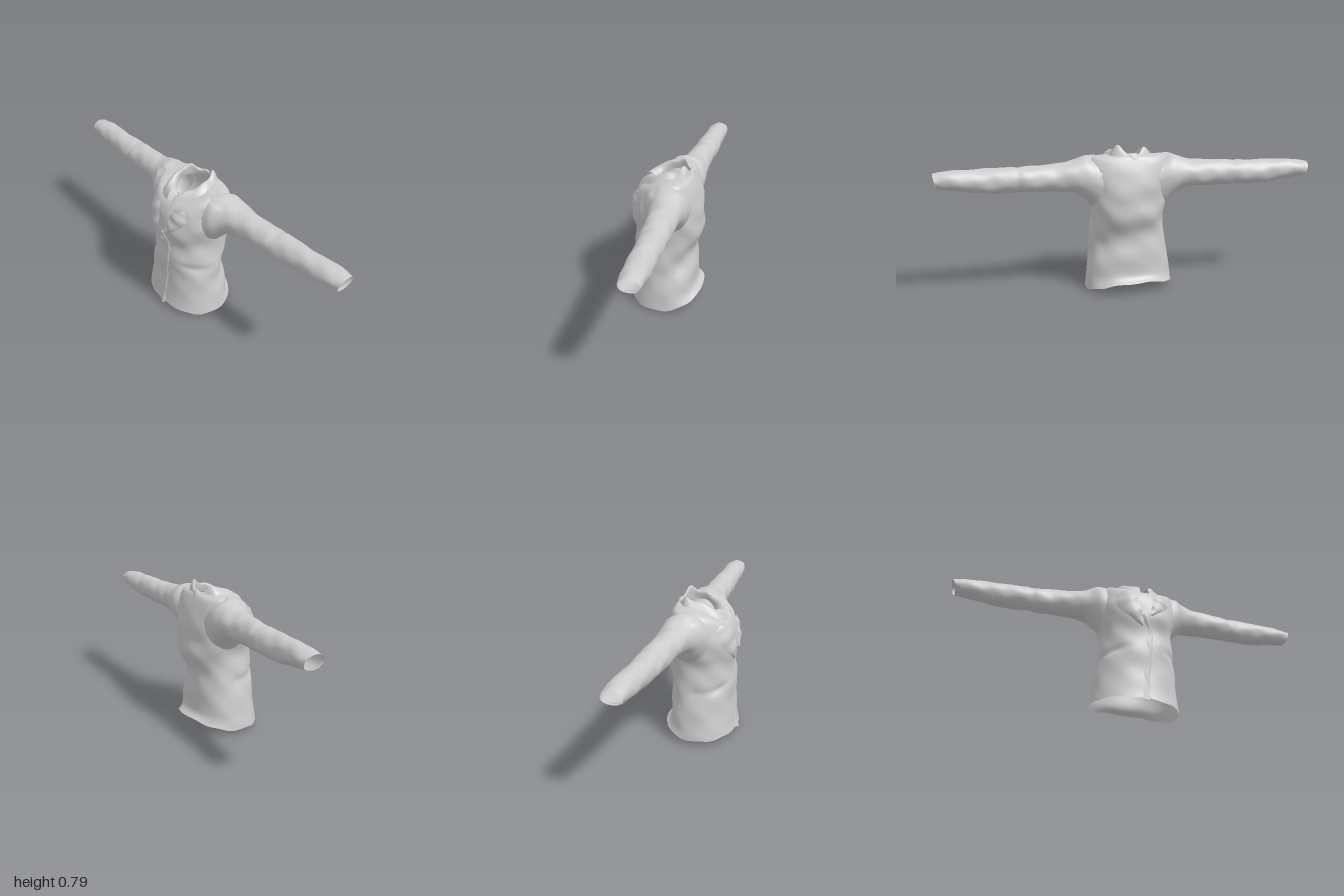
import * as THREE from 'three';

const material = new THREE.MeshStandardMaterial({ color: 0xcccccc, side: THREE.DoubleSide });

// Smooth interpolation through the rows of a small table, t in 0..1
function sample(rows, t) {
  const f = Math.min(Math.max(t, 0), 1) * (rows.length - 1);
  const i = Math.min(Math.floor(f), rows.length - 2), k = f - i;
  const row = (n) => rows[Math.min(Math.max(n, 0), rows.length - 1)];
  return row(i).map((b, c) => {
    const a = row(i - 1)[c], d = row(i + 1)[c], e = row(i + 2)[c];
    return b + 0.5 * k * (d - a + k * (2 * a - 5 * b + 4 * d - e + k * (3 * (b - d) + e - a)));
  });
}

// Smooth bump of width w
const bump = (d, w) => Math.exp(-((d / w) ** 2));

// Cloth surface over a (u, v) grid; closed joins u = 1 to u = 0, skip cuts holes
function cloth(name, nu, nv, closed, point, skip = () => false) {
  const cols = closed ? nu : nu + 1, index = [], pts = [];
  for (let j = 0; j <= nv; j++) {
    for (let i = 0; i < cols; i++) pts.push(point(i / nu, j / nv));
  }
  for (let j = 0; j < nv; j++) {
    for (let i = 0; i < nu; i++) {
      const a = j * cols + i, b = j * cols + ((i + 1) % cols), c = a + cols, d = b + cols;
      if ([a, b, c, d].every((n) => skip(pts[n]))) continue;
      index.push(a, c, b, b, c, d);
    }
  }
  const geo = new THREE.BufferGeometry();
  geo.setAttribute('position', new THREE.Float32BufferAttribute(pts.flat(), 3));
  geo.setIndex(index);
  geo.computeVertexNormals();
  const mesh = new THREE.Mesh(geo, material);
  mesh.name = name;
  return mesh;
}

// Torso rings: ySide, yFront, yBack, xLeft, xRight, zFront, zBack, zCentre
const torsoRings = [
  [0.014, 0.028, 0.065, 0.225, 0.25, 0.19, -0.198, 0],
  [0.08, 0.09, 0.1, 0.218, 0.243, 0.18, -0.167, 0],
  [0.2, 0.2, 0.2, 0.21, 0.225, 0.172, -0.167, 0],
  [0.32, 0.32, 0.32, 0.202, 0.203, 0.174, -0.16, 0],
  [0.42, 0.42, 0.42, 0.19, 0.195, 0.166, -0.196, -0.01],
  [0.5, 0.5, 0.5, 0.205, 0.21, 0.182, -0.19, -0.02],
  [0.58, 0.57, 0.58, 0.22, 0.22, 0.176, -0.185, -0.035],
  [0.67, 0.635, 0.65, 0.22, 0.22, 0.157, -0.17, -0.05],
  [0.728, 0.665, 0.705, 0.2, 0.2, 0.132, -0.15, -0.06],
  [0.738, 0.672, 0.733, 0.14, 0.14, 0.1, -0.135, -0.06],
  [0.738, 0.664, 0.737, 0.088, 0.088, 0.062, -0.12, -0.04],
];
const power = 2.3;
const rounded = (v) => Math.sign(v) * Math.abs(v) ** (2 / power);

function torsoPoint(u, t) {
  const [ys, yf, yb, xl, xr, zf, zb, zc] = sample(torsoRings, t);
  const a = u * Math.PI * 2, c = rounded(Math.cos(a)), s = rounded(Math.sin(a));
  const y = ys + ((s > 0 ? yf : yb) - ys) * s * s;
  // Diagonal folds, a pinched crease on each side of the chest and a hollow at the back of the waist
  const mask = Math.sin(Math.PI * Math.min(1, t * 1.1));
  const pinch = 0.05 * bump(Math.abs(c) - 0.75, 0.3) * bump(y - 0.35 + 0.06 * Math.abs(c), 0.02) * (s > 0 ? 1 : 0);
  const hollow = 0.14 * bump(Math.sin((a + 0.75) / 2), 0.3) * bump(y - 0.26 - 0.08 * (-s - 0.7), 0.075);
  const fold = 1 - pinch - hollow
    + mask * (0.02 * Math.sin(3 * a + y * 22) * Math.sin(y * 15) + 0.01 * Math.sin(7 * a - y * 38));
  const hem = (1 - Math.min(1, t * 6)) * (0.003 * Math.sin(9 * a) - 0.012 * c);
  return [c * (c > 0 ? xl : xr) * fold, y + hem, zc + s * (s > 0 ? zf - zc : zc - zb) * fold];
}

// Depth of the chest surface at a given x and y
function frontZ(x, y) {
  let t = 0;
  while (t < 0.8 && sample(torsoRings, t)[1] < y) t += 0.005;
  const [, , , xl, xr, zf, , zc] = sample(torsoRings, t);
  const k = Math.min(1, Math.abs(x) / (x > 0 ? xl : xr));
  return zc + (zf - zc) * (1 - k ** power) ** (1 / power);
}

// Point of the torso's side surface closest to a given y and z
function sidePoint(side, y, z) {
  let best, least = Infinity;
  for (let j = 90; j <= 200; j++) {
    for (let i = -48; i <= 48; i++) {
      const p = torsoPoint(i / 200 + (side > 0 ? 0 : 0.5), j / 210);
      const d = (p[1] - y) ** 2 + (p[2] - z) ** 2;
      if (d < least) [best, least] = [p, d];
    }
  }
  return best;
}

// Sleeve rings: x, yCentre, zCentre, yRadius, zRadius
const sleeveRings = [
  [0.19, 0.6, -0.035, 0.134, 0.118],
  [0.23, 0.62, -0.042, 0.118, 0.114],
  [0.28, 0.631, -0.055, 0.09, 0.093],
  [0.35, 0.63, -0.062, 0.073, 0.08],
  [0.46, 0.628, -0.066, 0.068, 0.071],
  [0.57, 0.627, -0.07, 0.067, 0.069],
  [0.7, 0.626, -0.074, 0.064, 0.064],
  [0.8, 0.63, -0.077, 0.059, 0.061],
  [0.91, 0.637, -0.08, 0.051, 0.058],
  [1.0, 0.636, -0.082, 0.038, 0.052],
];

function sleeve(side) {
  const tube = (u, t) => {
    const [x, yc, zc, ry, rz] = sample(sleeveRings, t);
    const a = u * Math.PI * 2;
    // Irregular creases plus a pinch at the elbow
    const fold = 1 - 0.07 * bump(x - 0.58, 0.012) + Math.min(1, t * 3) * (0.025 * Math.sin(2 * a + x * 19 + side)
      + 0.015 * Math.sin(5 * a - x * 31) + 0.015 * Math.sin(3 * a + x * 53));
    const cuff = t > 0.95 ? 0.01 * (1 - Math.cos(a)) : 0;
    return [side * (x - cuff), yc + Math.cos(a) * ry * fold,
      zc - (side < 0 ? 0.015 : -0.004) * t - side * Math.sin(a) * rz * fold];
  };
  // Root of the sleeve follows the armhole seam on the torso
  const nu = 48;
  const shift = Array.from({ length: nu }, (_, i) => {
    const p = tube(i / nu, 0), q = sidePoint(side, p[1], p[2]);
    return q.map((v, k) => v - p[k]);
  });
  return cloth(side > 0 ? 'leftSleeve' : 'rightSleeve', nu, 72, true, (u, t) => {
    const d = shift[Math.round(u * nu)], w = Math.max(0, 1 - t / 0.25) ** 2;
    return tube(u, t).map((v, k) => v + w * d[k]);
  });
}

// Collar rows from neckline up and folded outward: ySide, yFront, yBack, x, zFront, zBack
const collarRows = [
  [0.715, 0.65, 0.72, 0.09, 0.063, -0.118],
  [0.742, 0.68, 0.738, 0.083, 0.07, -0.115],
  [0.755, 0.7, 0.745, 0.088, 0.095, -0.121],
  [0.748, 0.69, 0.738, 0.105, 0.132, -0.133],
  [0.73, 0.6, 0.715, 0.125, 0.17, -0.143],
];

function collarPoint(u, t) {
  const [ys, yf, yb, x, zf, zb] = sample(collarRows, t);
  const a = Math.PI / 2 + 0.2 + u * (Math.PI * 2 - 0.4);
  const c = Math.cos(a), s = Math.sin(a);
  // Two raised corners on the stand and a rumpled fold
  const peaks = 0.038 * bump(a - 5.5, 0.5) + 0.02 * bump(a - 3.5, 0.5);
  const lift = Math.sin(Math.PI * t) * (peaks + 0.006 * Math.sin(7 * a + 1));
  const r = 1 + 0.05 * t * Math.sin(6 * a);
  return [c * x * r, ys + ((s > 0 ? yf : yb) - ys) * s * s + lift, -0.03 + s * (s > 0 ? zf + 0.03 : -0.03 - zb) * r];
}

// Folded lapel lying on the chest; the right one is wider and reaches lower
function lapel(side) {
  const low = side > 0 ? 0.5 : 0.44, wide = side > 0 ? 0.1 : 0.125;
  return cloth(side > 0 ? 'leftLapel' : 'rightLapel', 12, 24, false, (u, v) => {
    const width = wide * Math.sin(Math.PI * (0.04 + 0.72 * v));
    const x = side * (0.012 + 0.04 * v + width * u);
    const y = low + (0.64 - low) * v + 0.02 * u * v;
    const roll = 0.003 + 0.014 * Math.sin(Math.PI * u) * (0.5 + 0.5 * v);
    return [x, y, frontZ(x, y) + roll + 0.003 * Math.sin(v * 16 + u * 5)];
  });
}

// Front overlap: rises gently from the right to an edge on the left
const overlapLine = [[-0.005, 0.028], [0.002, 0.12], [0.014, 0.24], [0.024, 0.36], [0.02, 0.43], [-0.02, 0.5]];
function overlapPoint(u, t) {
  const [x0, y] = sample(overlapLine, t);
  const x = x0 + (u - 0.7) * 0.05 + 0.002 * Math.sin(t * 40);
  const edge = Math.min(u / 0.8, (1 - u) / 0.2);
  return [x, y - 0.01 * u * Math.max(0, 1 - t * 8), frontZ(x, y) - 0.003 + 0.009 * edge + 0.008 * u * Math.max(0, 1 - t * 8)];
}

export function createModel() {
  const jacket = new THREE.Group();
  jacket.name = 'jacket';

  // Body shell with armholes left open behind the sleeves
  const inArmhole = ([x, y, z]) =>
    Math.abs(x) > 0.1 && ((y - 0.6) / 0.132) ** 2 + ((z + 0.035) / 0.116) ** 2 < 1;
  jacket.add(cloth('body', 96, 88, true, torsoPoint, inArmhole));

  jacket.add(cloth('collar', 60, 12, false, collarPoint));
  jacket.add(cloth('frontOverlap', 10, 50, false, overlapPoint));
  for (const side of [1, -1]) jacket.add(sleeve(side), lapel(side));
  return jacket;
}
